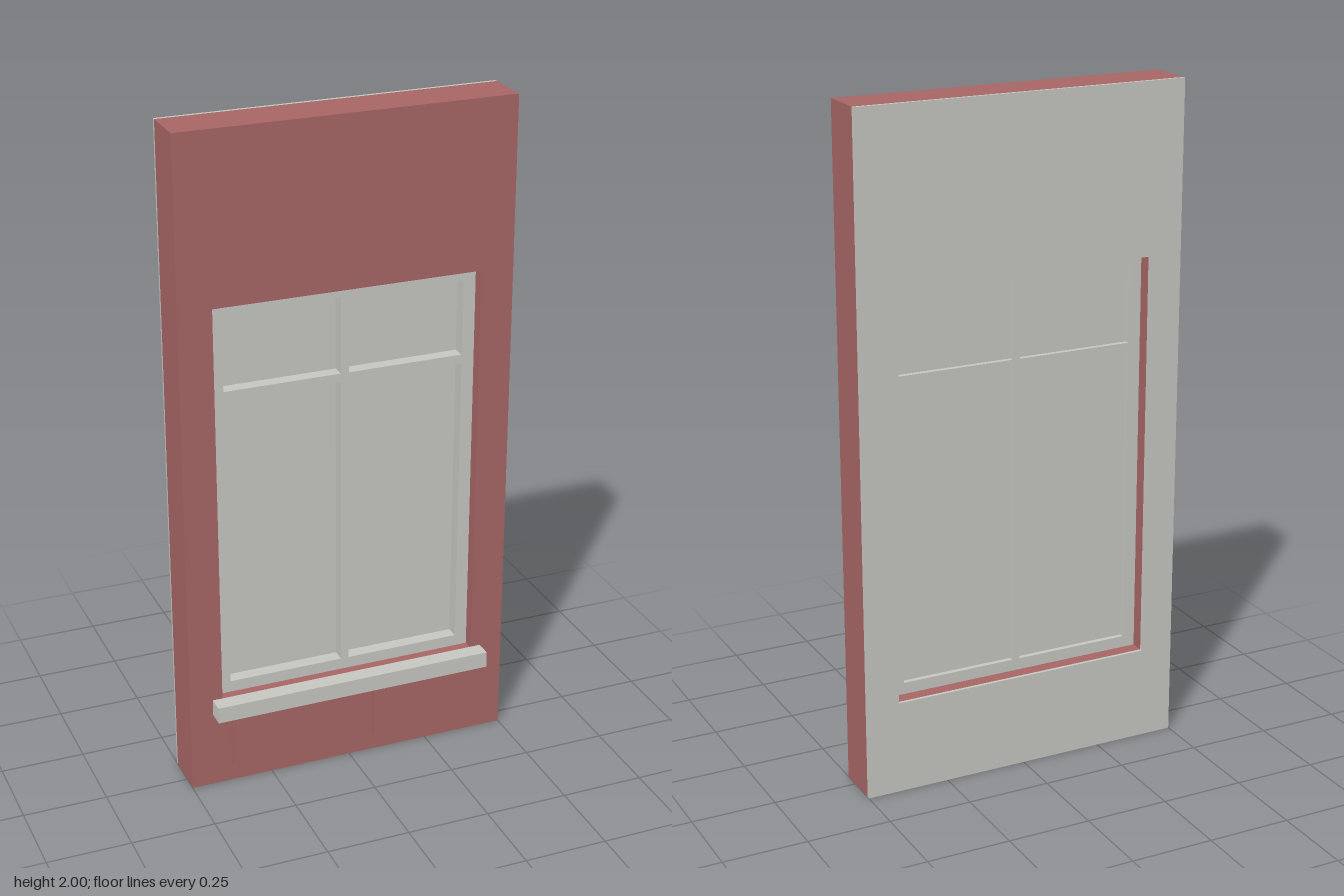
import * as THREE from 'three';

// Rectangle outline given by its edges
function rect(Type, x0, x1, y0, y1) {
  const p = new Type();
  p.moveTo(x0, y0);
  p.lineTo(x1, y0);
  p.lineTo(x1, y1);
  p.lineTo(x0, y1);
  p.closePath();
  return p;
}

// Flat slab from z0 to z1 with rectangular holes
function slab(name, material, outline, z0, z1, holes = []) {
  const shape = rect(THREE.Shape, ...outline);
  shape.holes = holes.map((h) => rect(THREE.Path, ...h));
  const geometry = new THREE.ExtrudeGeometry(shape, { depth: z1 - z0, bevelEnabled: false });
  geometry.translate(0, 0, z0);
  const mesh = new THREE.Mesh(geometry, material);
  mesh.name = name;
  return mesh;
}

export function createModel() {
  const red = new THREE.MeshStandardMaterial({ color: 0xa96666 });
  red.name = 'brick red';
  const grey = new THREE.MeshStandardMaterial({ color: 0xc8c8c3 });
  grey.name = 'light grey';

  const model = new THREE.Group();
  model.name = 'wallWithWindow';

  // Outer wall and thin inner lining share the same opening
  const wall = [-0.5, 0.5, 0, 2];
  const opening = [-0.4, 0.4, 0.28, 1.5];
  model.add(slab('outerWall', red, wall, -0.09, 0.05, [opening]));
  model.add(slab('innerLining', grey, wall, -0.1, -0.09, [opening]));

  // Window frame with two lower and two upper lights
  const lights = [];
  for (const [y0, y1] of [[0.315, 1.21], [1.238, 1.465]]) {
    lights.push([-0.362, -0.012, y0, y1], [0.012, 0.362, y0, y1]);
  }
  model.add(slab('windowFrame', grey, opening, -0.05, 0.015, lights));
  for (const light of lights) model.add(slab('windowPane', grey, light, -0.035, -0.025));

  // Projecting sill
  model.add(slab('windowSill', grey, [-0.43, 0.43, 0.235, 0.285], 0.05, 0.1));

  // Raised panels below the sill
  for (const s of [-1, 1]) {
    const x = s * 0.225;
    const side = s > 0 ? 'left' : 'right';
    model.add(slab(side + 'RaisedPanel', red, [x - 0.15, x + 0.15, 0.06, 0.21], 0.05, 0.06));
  }
  return model;
}
